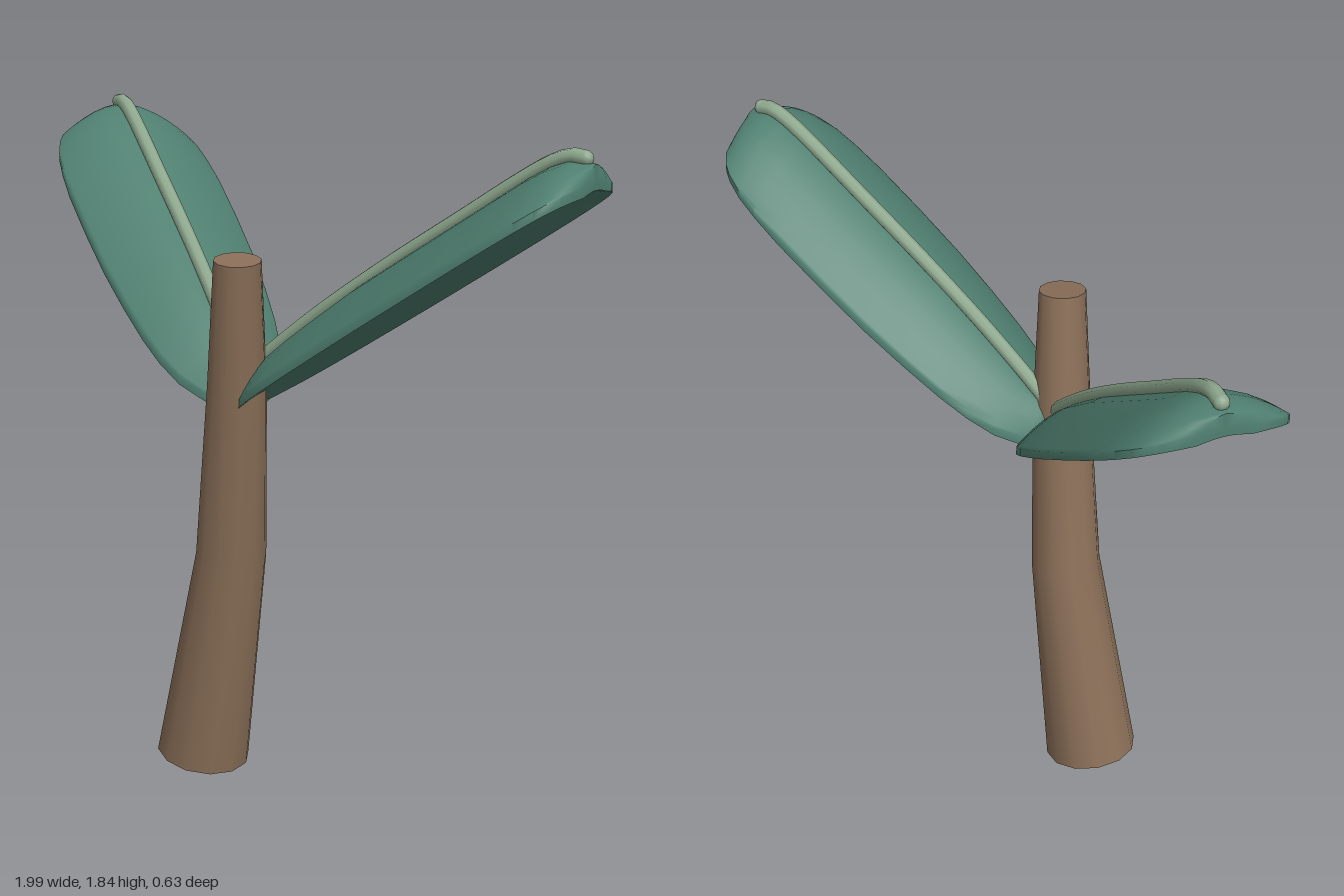
import * as THREE from 'three';
import { toCreasedNormals } from 'three/addons/utils/BufferGeometryUtils.js';

const bark = new THREE.MeshStandardMaterial({ color: 0x8a6f58 });
bark.name = 'bark';
const leafGreen = new THREE.MeshStandardMaterial({ color: 0x4f7f70 });
leafGreen.name = 'leafGreen';
const ribGreen = new THREE.MeshStandardMaterial({ color: 0x8ea88e });
ribGreen.name = 'ribGreen';

// Skin a list of rings (counter-clockwise about the direction of travel) and cap both ends
function loft(rings, crease) {
  const n = rings[0].length;
  const pos = [];
  const idx = [];
  for (const ring of rings) for (const p of ring) pos.push(p.x, p.y, p.z);
  for (let i = 0; i < rings.length - 1; i++) {
    for (let j = 0; j < n; j++) {
      const a = i * n + j, b = i * n + (j + 1) % n;
      idx.push(a, b, a + n, b, b + n, a + n);
    }
  }
  const cap = (i, end) => {
    const c = rings[i].reduce((s, p) => s.add(p), new THREE.Vector3()).divideScalar(n);
    const ci = pos.length / 3;
    pos.push(c.x, c.y, c.z);
    for (let j = 0; j < n; j++) {
      const a = i * n + j, b = i * n + (j + 1) % n;
      if (end) idx.push(ci, a, b);
      else idx.push(ci, b, a);
    }
  };
  cap(0, false);
  cap(rings.length - 1, true);
  const g = new THREE.BufferGeometry();
  g.setAttribute('position', new THREE.Float32BufferAttribute(pos, 3));
  g.setIndex(idx);
  return toCreasedNormals(g, crease);
}

// Piecewise linear lookup in [key, value] pairs
function lookup(table, s) {
  for (let i = 1; i < table.length; i++) {
    const [a, va] = table[i - 1], [b, vb] = table[i];
    if (s <= b) return va + (vb - va) * Math.max(0, (s - a) / (b - a));
  }
  return table[table.length - 1][1];
}

// Bent, tapering trunk
function makeTrunk() {
  const path = [[-0.168, 0.032, 0.185, 0.133], [-0.035, 0.66, 0.185, 0.099],
    [0.022, 1.15, 0.208, 0.082], [0.065, 1.5, 0.24, 0.065]];
  const pts = path.map(p => new THREE.Vector3(p[0], p[1], p[2]));
  const rings = pts.map((c, i) => {
    const d = pts[Math.min(i + 1, 3)].clone().sub(pts[Math.max(i - 1, 0)]).normalize();
    const e1 = new THREE.Vector3(d.y, -d.x, 0).normalize();
    const e2 = d.clone().cross(e1);
    return Array.from({ length: 12 }, (_, j) => {
      const a = j / 12 * Math.PI * 2;
      return c.clone().addScaledVector(e1, path[i][3] * Math.cos(a))
        .addScaledVector(e2, path[i][3] * Math.sin(a));
    });
  });
  const trunk = new THREE.Mesh(loft(rings, 0.9), bark);
  trunk.name = 'trunk';
  return trunk;
}

// Leaf proportions along its length s: half width and height of the crest over the rim
const WIDTH = [[0, 0.05], [0.03, 0.09], [0.1, 0.15], [0.17, 0.18], [0.25, 0.2], [0.36, 0.217], [0.48, 0.23],
  [0.62, 0.236], [0.76, 0.237], [0.84, 0.231], [0.9, 0.221], [0.945, 0.203], [0.97, 0.185], [0.992, 0.155],
  [1.006, 0.115], [1.015, 0.07]];
const CREST = [[0, 0.07], [0.15, 0.1], [0.35, 0.12], [0.88, 0.122], [0.95, 0.1], [1.015, 0.05]];
const TURN = 17.5 * Math.PI / 180;

// Place a leaf point: s along, w across, h above the rim
function leafPoint(side, s, w, h) {
  const x = s * Math.cos(TURN) + w * Math.sin(TURN);
  const z = 0.165 - s * Math.sin(TURN) + w * Math.cos(TURN);
  return new THREE.Vector3(side * x, 1.08 + 0.655 * s + h, z);
}

// Arched blade with a raised midrib
function makeLeaf(side) {
  const group = new THREE.Group();
  group.name = side > 0 ? 'leftLeaf' : 'rightLeaf';

  const STEPS = 12;
  const rings = WIDTH.map(([s, w]) => {
    const crest = lookup(CREST, s);
    const ring = [];
    for (const [sign, lift, rim] of [[1, 1, 0.012], [-1, 0.2, -0.012]]) {
      for (let j = 0; j <= STEPS; j++) {
        const t = sign * Math.cos(j / STEPS * Math.PI);
        ring.push(leafPoint(side, s, w * t, rim + lift * crest * (1 - Math.abs(t) ** 1.7)));
      }
    }
    return side > 0 ? ring.reverse() : ring;
  });
  const blade = new THREE.Mesh(loft(rings, 1.0), leafGreen);
  blade.name = 'blade';
  group.add(blade);

  // Midrib follows the crest and hooks down at the tip
  const stops = [0, 0.1, 0.25, 0.45, 0.65, 0.82, 0.9, 0.95, 0.985];
  const line = stops.map(s => leafPoint(side, s, 0, lookup(CREST, s) + 0.02));
  const rib = new THREE.Mesh(
    new THREE.TubeGeometry(new THREE.CatmullRomCurve3(line), 40, 0.021, 8), ribGreen);
  rib.name = 'midrib';
  group.add(rib);
  const end = new THREE.Mesh(new THREE.SphereGeometry(0.021, 10, 8), ribGreen);
  end.name = 'midribEnd';
  end.position.copy(line[line.length - 1]);
  group.add(end);
  return group;
}

export function createModel() {
  const model = new THREE.Group();
  model.name = 'sprout';
  model.add(makeTrunk(), makeLeaf(1), makeLeaf(-1));
  return model;
}
